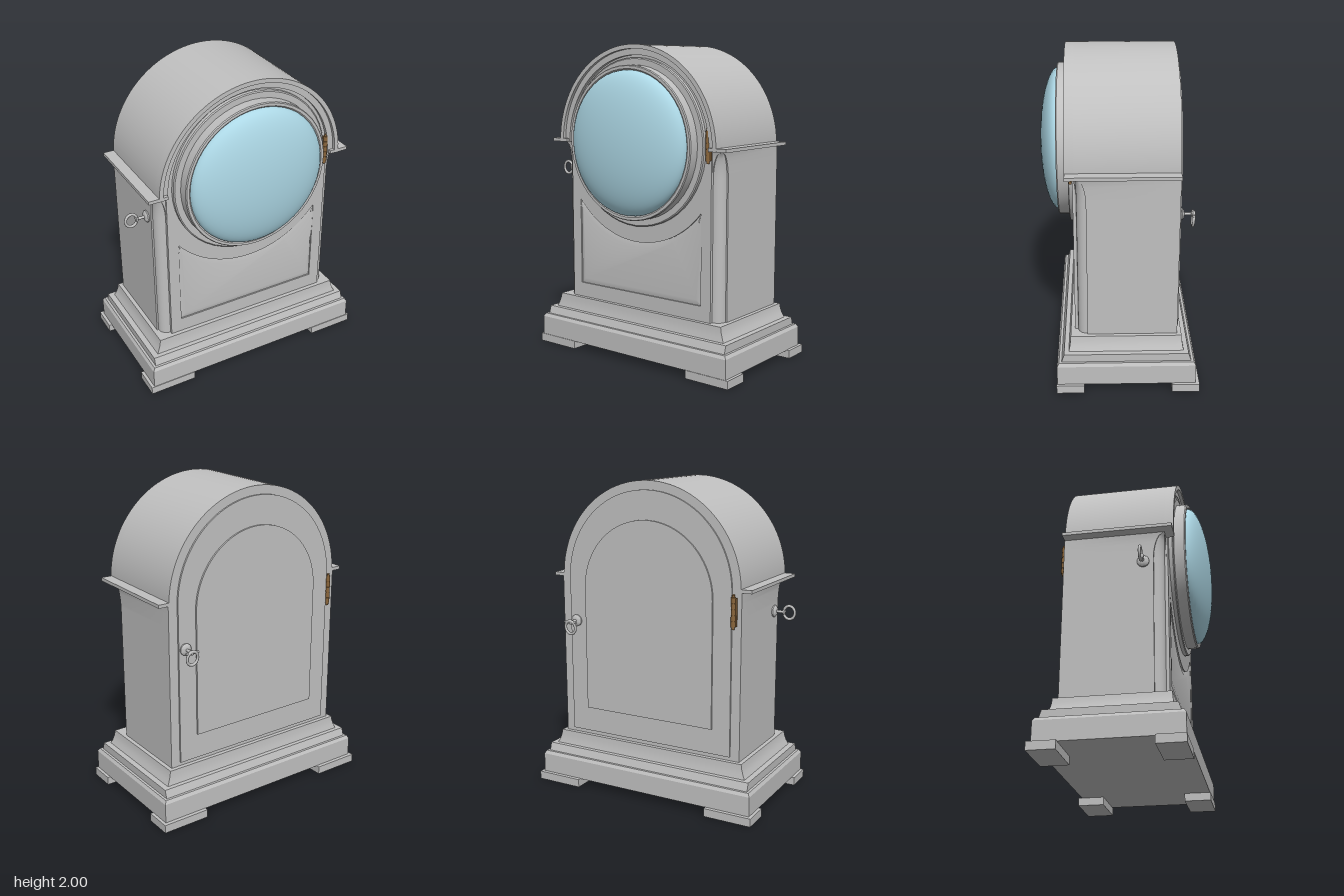
import * as THREE from 'three';
import { toCreasedNormals } from 'three/addons/utils/BufferGeometryUtils.js';

const paint = (name, color) => Object.assign(new THREE.MeshStandardMaterial({ color }), { name });

// Skin between loops of [x, y, z] points, each running front, right, back, left
function loft(loops) {
  const pos = [], n = loops[0].length;
  for (let i = 0; i < loops.length - 1; i++) {
    for (let j = 0; j < n; j++) {
      const k = (j + 1) % n;
      const a = loops[i][j], b = loops[i][k], c = loops[i + 1][k], d = loops[i + 1][j];
      pos.push(...a, ...b, ...c, ...a, ...c, ...d);
    }
  }
  const g = new THREE.BufferGeometry();
  g.setAttribute('position', new THREE.Float32BufferAttribute(pos, 3));
  return toCreasedNormals(g, 0.5);
}

const rect = (hx, hz, y, cz) =>
  [[hx, y, cz + hz], [hx, y, cz - hz], [-hx, y, cz - hz], [-hx, y, cz + hz]];

// Body section with recessed quarter-round front corners of size c
function bodyLoop(y, c) {
  const h = 0.63, front = 0.265, back = -0.355, right = [[h - c, y, front]];
  for (let i = 0; i <= 6; i++) {
    const a = (i / 6) * Math.PI / 2;
    right.push([h - c + 0.85 * c * Math.sin(a), y, front - c + 0.85 * c * Math.cos(a)]);
  }
  right.push([h, y, front - c], [h, y, back]);
  return [...right, ...right.map(([x, , z]) => [-x, y, z]).reverse()];
}

// Round-headed outline
function archShape(halfWidth, bottom, spring) {
  const s = new THREE.Shape();
  s.moveTo(-halfWidth, bottom);
  s.lineTo(halfWidth, bottom);
  s.lineTo(halfWidth, spring);
  s.absarc(0, spring, halfWidth, 0, Math.PI, false);
  s.closePath();
  return s;
}

// Panel outline whose top is scooped around the dial
function scoopPath(Type) {
  const hx = 0.49, r = 0.63, cy = 1.395, a = Math.acos(hx / r);
  const p = new Type();
  p.moveTo(-hx, 0.43);
  p.lineTo(hx, 0.43);
  p.lineTo(hx, cy - r * Math.sin(a));
  p.absarc(0, cy, r, -a, -Math.PI + a, true);
  p.closePath();
  return p;
}

const extrude = (shape, z0, z1) => toCreasedNormals(
  new THREE.ExtrudeGeometry(shape, { depth: z1 - z0, bevelEnabled: false, curveSegments: 32 })
    .translate(0, 0, z0), 0.5);

// Turned part whose axis points to +z; profile points are [radius, z]
const turned = (points, segments = 48) => toCreasedNormals(
  new THREE.LatheGeometry(points.map(([r, z]) => new THREE.Vector2(r, z)), segments)
    .rotateX(Math.PI / 2), 0.6);

export function createModel() {
  const grey = paint('casing grey', 0xc0c0c0);
  const blue = paint('glass blue', 0xadd8e6);
  const bronze = paint('hinge bronze', 0x8a663c);
  const model = new THREE.Group();
  model.name = 'mantelClock';

  const add = (name, geometry, material = grey, parent = model) => {
    const m = new THREE.Mesh(geometry, material);
    m.name = name;
    parent.add(m);
    return m;
  };
  const box = (name, x0, x1, y0, y1, z0, z1) => add(name,
    new THREE.BoxGeometry(x1 - x0, y1 - y0, z1 - z0)
      .translate((x0 + x1) / 2, (y0 + y1) / 2, (z0 + z1) / 2));

  // Feet and stepped base with a coved top
  for (const s of [-1, 1]) {
    for (const z of [0.305, -0.405]) {
      box('foot', s * 0.615 - 0.155, s * 0.615 + 0.155, 0, 0.052, z - 0.085, z + 0.085);
    }
  }
  const steps = [
    [0, 0, 0.05], [0.75, 0.426, 0.05], [0.75, 0.426, 0.175], [0.738, 0.414, 0.195],
    [0.722, 0.398, 0.195], [0.722, 0.382, 0.245], [0.685, 0.354, 0.245],
    [0.671, 0.347, 0.275], [0.661, 0.343, 0.305], [0.656, 0.341, 0.335], [0, 0, 0.335],
  ];
  add('base', loft(steps.map(([hx, hz, y]) => rect(hx, hz, y, -0.04))));

  // Body: front corner columns fade out under the shelf
  const loops = [bodyLoop(0.33, 0.068)];
  for (let i = 0; i <= 8; i++) {
    const t = i / 8;
    loops.push(bodyLoop(1.2 + 0.175 * t, 0.068 * Math.sqrt(1.0001 - t * t)));
  }
  add('body', loft(loops));

  // Arched top with an overhanging, stepped hood
  const half = (outer, inner) => {
    const s = new THREE.Shape();
    s.absarc(0, 1.375, outer, 0, Math.PI, false);
    if (inner) s.absarc(0, 1.375, inner, Math.PI, 0, true);
    s.closePath();
    return s;
  };
  add('archedTop', extrude(half(0.625), -0.355, 0.265));
  add('hoodRim', extrude(half(0.625, 0.598), 0.26, 0.32));
  add('hoodInnerStep', extrude(half(0.6, 0.56), 0.26, 0.298));

  // Side shelves
  for (const s of [-1, 1]) {
    box('shelf', s * 0.63 - 0.063, s * 0.63 + 0.063, 1.375, 1.396, -0.355, 0.318);
  }

  // Front plate with a fielded panel
  const plate = archShape(0.562, 0.335, 1.375);
  plate.holes.push(scoopPath(THREE.Path));
  add('frontPlate', extrude(plate, 0.26, 0.275));
  add('frontPanel', toCreasedNormals(new THREE.ExtrudeGeometry(scoopPath(THREE.Shape), {
    depth: 0.001, bevelThickness: 0.008, bevelSize: 0.033, bevelOffset: -0.033,
    bevelSegments: 1, curveSegments: 32,
  }).translate(0, 0, 0.265), 0.3));

  // Dial bezel and domed glass
  const bezel = add('bezel', turned([
    [0.525, 0.27], [0.525, 0.297], [0.518, 0.302], [0.48, 0.302],
    [0.48, 0.365], [0.475, 0.372], [0.458, 0.372], [0.445, 0.36],
  ]));
  const dome = [];
  for (let i = 0; i <= 16; i++) {
    const a = (i / 16) * Math.PI / 2;
    dome.push([0.45 * Math.cos(a), 0.365 + 0.12 * Math.sin(a)]);
  }
  const glass = add('domedGlass', turned(dome), blue);
  bezel.position.y = glass.position.y = 1.395;

  // Back door with a raised panel
  add('backDoor', extrude(archShape(0.57, 0.36, 1.375), -0.366, -0.35));
  add('backPanel', extrude(archShape(0.45, 0.52, 1.315), -0.377, -0.36));

  // Hinges: knuckled barrel with leaves
  const hinge = (name, x, y, z, face) => {
    const g = new THREE.Group();
    g.name = name;
    g.position.set(x, y, z);
    add('hingeLeaf', new THREE.BoxGeometry(0.042, 0.17, 0.008).translate(0, 0, -face * 0.008), bronze, g);
    for (let i = -2; i <= 2; i++) {
      add('hingeKnuckle', new THREE.CylinderGeometry(0.014, 0.014, 0.034, 12)
        .translate(0, i * 0.036, 0), bronze, g);
    }
    add('hingePin', new THREE.CylinderGeometry(0.009, 0.009, 0.208, 12), bronze, g);
    model.add(g);
  };
  hinge('frontHinge', 0.545, 1.405, 0.287, 1);
  hinge('backHinge', -0.582, 1.26, -0.368, -1);

  // Keys: rosette, stem and ring, pointing along +z
  const key = (name, hanging) => {
    const g = new THREE.Group();
    g.name = name;
    add('rosette', turned([[0.037, -0.005], [0.037, 0.008], [0.028, 0.016], [0.016, 0.02], [0, 0.02]], 24), grey, g);
    add('stem', turned([[0.009, 0], [0.009, 0.06], [0.016, 0.064], [0.016, 0.074], [0, 0.078]], 16), grey, g);
    const ring = add('ring', new THREE.TorusGeometry(0.037, 0.0085, 10, 28), grey, g);
    if (hanging) {
      ring.scale.y = 1.15;
      ring.position.set(0, -0.033, 0.075);
      ring.rotation.x = 0.08;
      add('crossBar', new THREE.CylinderGeometry(0.008, 0.008, 0.085, 12)
        .rotateZ(Math.PI / 2).translate(0, 0, 0.075), grey, g);
    } else {
      ring.rotation.y = Math.PI / 2;
      ring.scale.y = 1.12;
      ring.position.z = 0.103;
    }
    model.add(g);
    return g;
  };
  const sideKey = key('sideKey', false);
  sideKey.position.set(-0.63, 1.18, 0.135);
  sideKey.rotation.y = -Math.PI / 2;
  const backKey = key('backKey', true);
  backKey.position.set(0.525, 1.095, -0.366);
  backKey.rotation.y = Math.PI;

  return model;
}
